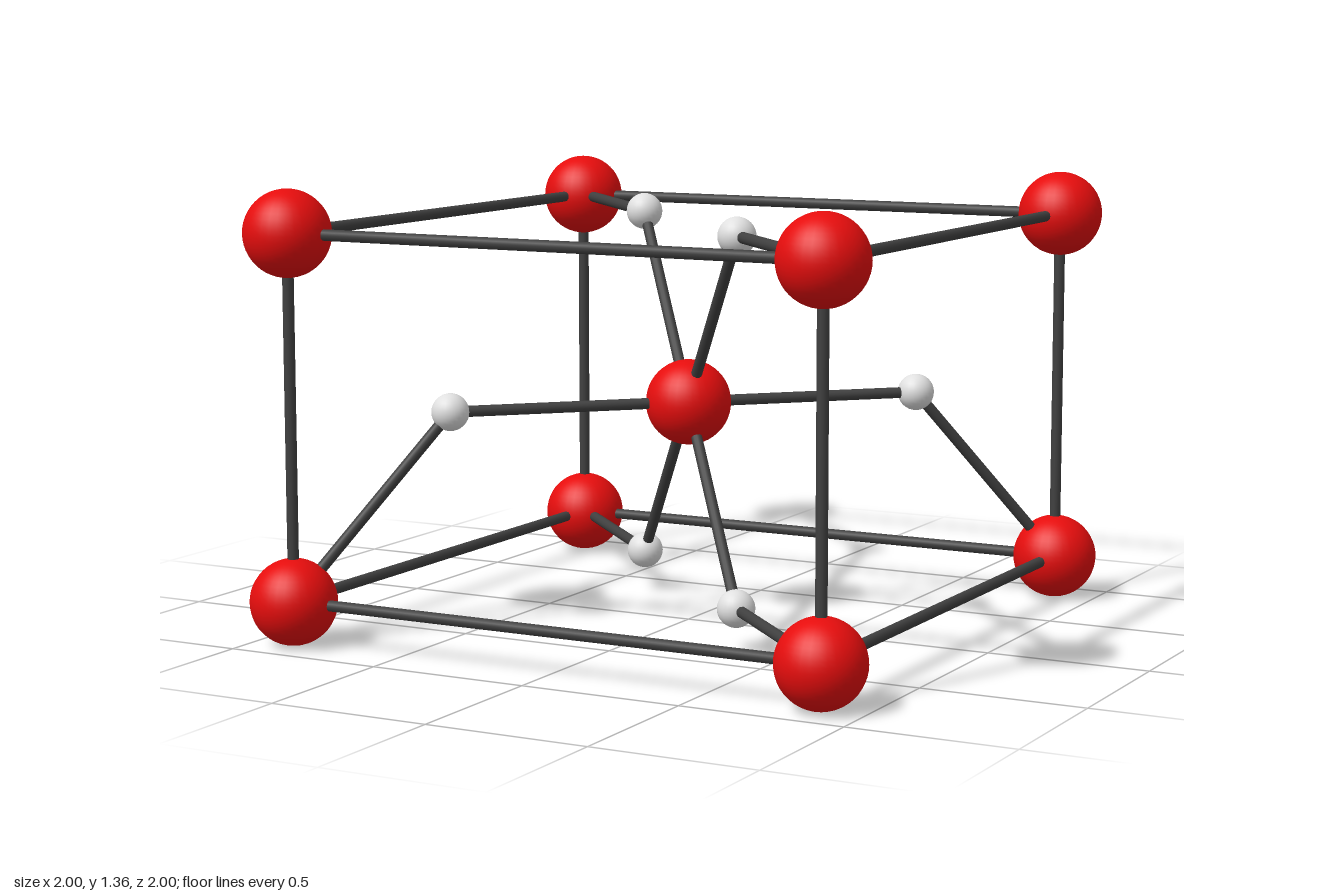
import * as THREE from 'three';

const red = new THREE.MeshStandardMaterial({ color: 0xe60d0d });
red.name = 'red';
const white = new THREE.MeshStandardMaterial({ color: 0xe0e0e0 });
white.name = 'paleGrey';
const dark = new THREE.MeshStandardMaterial({ color: 0x404040 });
dark.name = 'darkGrey';

const UP = new THREE.Vector3(0, 1, 0);

export function createModel() {
  const model = new THREE.Group();
  model.name = 'crystalCell';

  const bigBall = new THREE.SphereGeometry(0.131, 32, 24);
  const smallBall = new THREE.SphereGeometry(0.057, 24, 16);
  const unitRod = new THREE.CylinderGeometry(0.017, 0.017, 1, 12);

  const add = (name, geometry, material, position) => {
    const mesh = new THREE.Mesh(geometry, material);
    mesh.name = name;
    mesh.position.copy(position);
    model.add(mesh);
    return mesh;
  };
  // Rod spanning two points
  const rod = (name, a, b) => {
    const mesh = add(name, unitRod, dark, a.clone().lerp(b, 0.5));
    const dir = b.clone().sub(a);
    mesh.scale.y = dir.length();
    mesh.quaternion.setFromUnitVectors(UP, dir.normalize());
  };
  const v = (x, y, z) => new THREE.Vector3(x, y, z);

  const C = 0.869, low = 0.131, high = 1.231, mid = (low + high) / 2;
  const centre = v(0, mid, 0);
  add('centreBall', bigBall, red, centre);

  // Corner balls and the box frame
  const ring = [[1, 1], [1, -1], [-1, -1], [-1, 1]];
  ring.forEach(([sx, sz], i) => {
    const [nx, nz] = ring[(i + 1) % 4];
    for (const y of [low, high]) {
      add('cornerBall', bigBall, red, v(sx * C, y, sz * C));
      rod('frameEdge', v(sx * C, y, sz * C), v(nx * C, y, nz * C));
    }
    rod('frameUpright', v(sx * C, low, sz * C), v(sx * C, high, sz * C));
  });

  // Small balls, each linked to the centre and to one corner
  const link = (pos, corner) => {
    add('smallBall', smallBall, white, pos);
    rod('innerBond', centre, pos);
    rod('outerBond', pos, corner);
  };
  for (const s of [1, -1]) {
    for (const y of [low, high]) {
      link(v(s * 0.339, y, s * 0.339), v(s * C, y, s * C));
    }
    link(v(s * 0.528, mid, -s * 0.528), v(s * C, low, -s * C));
  }
  return model;
}
